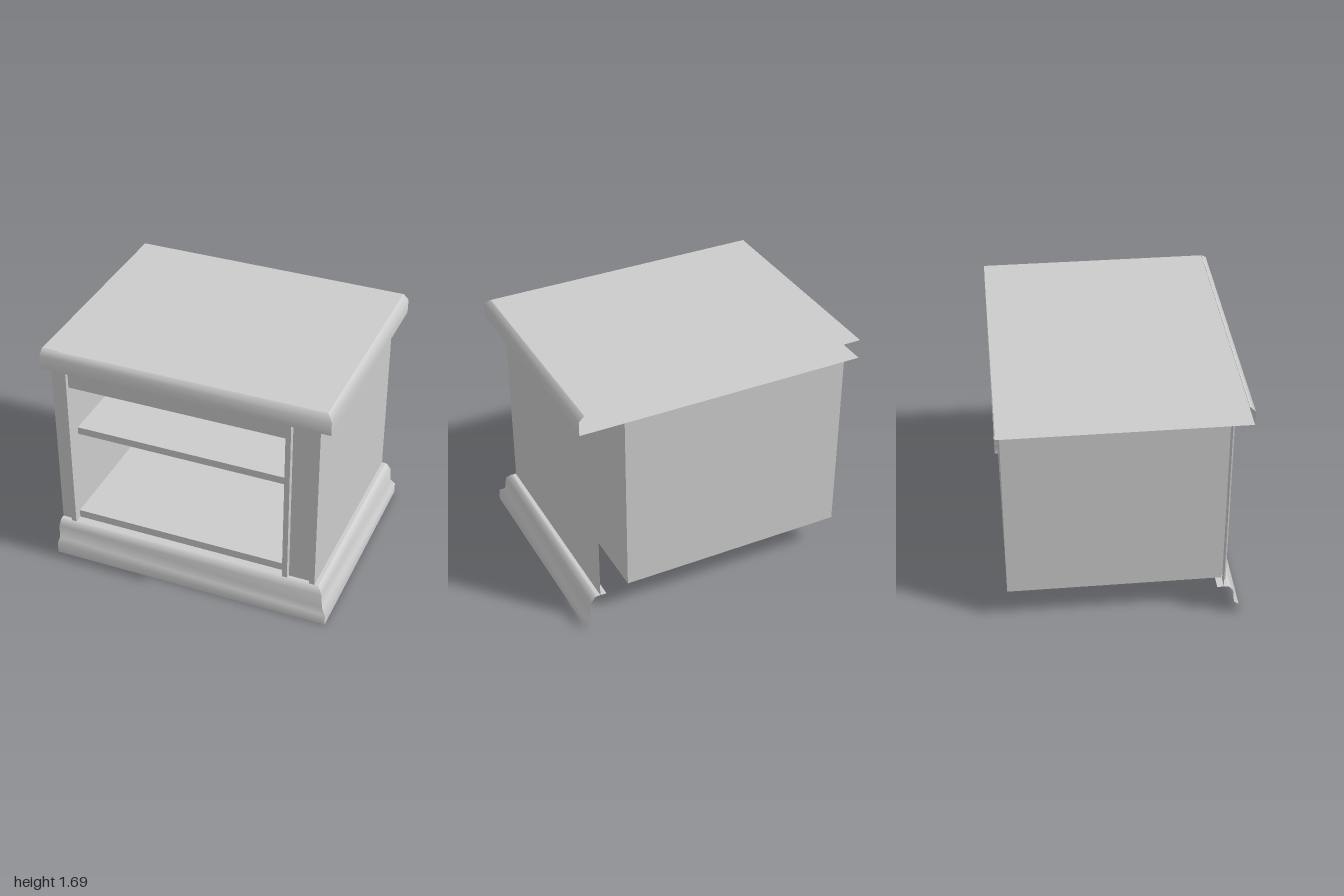
import * as THREE from 'three';

const mat = new THREE.MeshStandardMaterial({ color: 0xcccccc });
const sheetMat = new THREE.MeshStandardMaterial({ color: 0xcccccc, side: THREE.DoubleSide });
const BACK = -0.8, LEFT = -1;
const CASE_BACK = -0.775, CASE_LEFT = -0.885, CASE_RIGHT = 0.655, BOARD = 0.02;
const BASE_TOP = 0.245, TOP_UNDER = 1.552, TOP = 1.686;

export function createModel() {
  const model = new THREE.Group();

  const add = (name, geometry, material, parent = model) => {
    const mesh = new THREE.Mesh(geometry, material);
    mesh.name = name;
    parent.add(mesh);
  };

  // Solid board given by its limits on each axis
  const board = (name, x0, x1, y0, y1, z0, z1) => {
    const g = new THREE.BoxGeometry(x1 - x0, y1 - y0, z1 - z0);
    g.translate((x0 + x1) / 2, (y0 + y1) / 2, (z0 + z1) / 2);
    add(name, g, mat);
  };

  // Thin surface between two rows of points
  const strip = (start, end, smooth) => {
    const pos = [], index = [];
    start.forEach((p, i) => pos.push(...p, ...end[i]));
    for (let i = 0; i < start.length - 1; i++) {
      const a = 2 * i;
      index.push(a, a + 2, a + 3, a, a + 3, a + 1);
    }
    let g = new THREE.BufferGeometry();
    g.setAttribute('position', new THREE.Float32BufferAttribute(pos, 3));
    g.setIndex(index);
    if (!smooth) g = g.toNonIndexed();
    g.computeVertexNormals();
    return g;
  };

  // Moulding along the front and right side, mitred at the corner (cx, cz)
  const moulding = (name, cx, cz, profile, smooth) => {
    const group = new THREE.Group();
    group.name = name;
    const corner = profile.map(([o, y]) => [cx + o, y, cz + o]);
    add(name + 'Front', strip(profile.map(([o, y]) => [LEFT, y, cz + o]), corner, smooth), sheetMat, group);
    add(name + 'Side', strip(corner, profile.map(([o, y]) => [cx + o, y, BACK]), smooth), sheetMat, group);
    model.add(group);
  };

  // Upright sheet following a path of [x, z] points, from left to right
  const wall = (name, path) =>
    add(name, strip(path.map(([x, z]) => [x, BASE_TOP, z]), path.map(([x, z]) => [x, TOP_UNDER, z]), false), sheetMat);

  // Level sheet from the back left corner out to (x1, z1)
  const level = (name, x1, z1, y, up) => {
    const g = new THREE.PlaneGeometry(x1 - LEFT, z1 - BACK);
    g.rotateX(up ? -Math.PI / 2 : Math.PI / 2);
    g.translate((x1 + LEFT) / 2, y, (z1 + BACK) / 2);
    add(name, g, sheetMat);
  };

  // Hollow top, open at the back and left
  level('topSurface', 0.95, 0.76, TOP, true);
  level('topUnderside', 0.988, 0.8, TOP_UNDER, false);
  moulding('topEdge', 0.988, 0.8, [[-0.038, TOP], [-0.032, 1.682], [0, 1.65], [0, TOP_UNDER]], true);

  // Skirting with its flat inner ledge
  moulding('baseMoulding', 0.912, 0.69,
    [[0, BASE_TOP], [0.015, 0.238], [0.04, 0.205], [0.05, 0.105], [0.084, 0.08], [0.085, 0]], true);
  moulding('baseLedge', 0.912, 0.69, [[-0.07, BASE_TOP], [0, BASE_TOP]], false);

  // Face frame: raised strips and corner post around recessed stiles, then the outer side
  wall('leftStile', [[LEFT, 0.665], [-0.927, 0.665], [-0.921, 0.69], [CASE_LEFT, 0.69], [CASE_LEFT, 0.66]]);
  wall('rightStileAndSide', [[CASE_RIGHT, 0.66], [CASE_RIGHT, 0.69], [0.691, 0.69], [0.697, 0.665],
    [0.842, 0.665], [0.848, 0.69], [0.886, 0.69], [0.886, BACK]]);

  // Inner case of thin panels
  board('leftInnerPanel', CASE_LEFT - BOARD, CASE_LEFT, BASE_TOP, TOP_UNDER, CASE_BACK, 0.665);
  board('rightInnerPanel', CASE_RIGHT, CASE_RIGHT + BOARD, BASE_TOP, TOP_UNDER, CASE_BACK, 0.665);
  board('backPanel', CASE_LEFT, CASE_RIGHT, BASE_TOP, 1.54, CASE_BACK, CASE_BACK + 0.01);

  // Bottom board: top sheet folded down over its front edge
  const bottomEdge = (x) => [[x, 0.302, CASE_BACK + 0.01], [x, 0.302, 0.63], [x, BASE_TOP, 0.63]];
  add('bottomBoard', strip(bottomEdge(CASE_LEFT), bottomEdge(CASE_RIGHT), false), sheetMat);

  board('shelf', CASE_LEFT, CASE_RIGHT, 0.922, 0.975, CASE_BACK + 0.01, 0.575);
  board('topRail', CASE_LEFT, CASE_RIGHT, 1.35, TOP_UNDER, 0.62, 0.66);

  return model;
}
